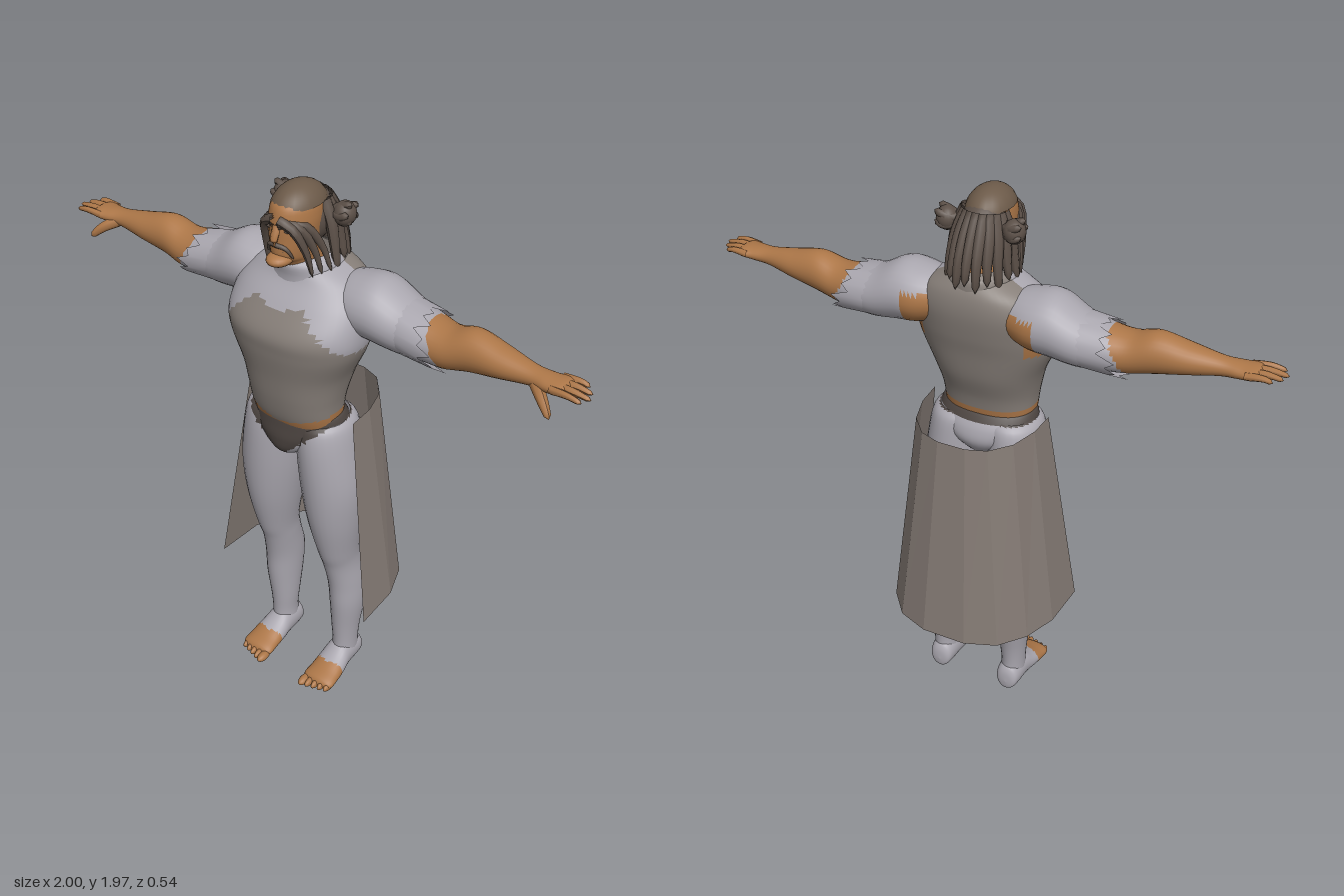
import * as THREE from 'three';

const mat = (name, color) => Object.assign(new THREE.MeshStandardMaterial({ color, side: THREE.DoubleSide }), { name });

// Smoothly interpolate a table of rows [t, centreA, centreB, radiusA, radiusB]
function sampleRows(rows, steps) {
  const out = [], last = rows.length - 1;
  for (let s = 0; s <= steps; s++) {
    const u = (s / steps) * last, i = Math.min(Math.floor(u), last - 1), f = u - i;
    const p = [rows[Math.max(i - 1, 0)], rows[i], rows[i + 1], rows[Math.min(i + 2, last)]];
    out.push(rows[0].map((_, k) => {
      const [a, b, c, d] = p.map((r) => r[k]);
      return b + 0.5 * f * (c - a + f * (2 * a - 5 * b + 4 * c - d + f * (3 * (b - c) + d - a)));
    }));
  }
  return out;
}

// Oval cross-sections along an axis; pick(x, y, z) gives the material index of each face
function loft(name, axis, rows, materials, { steps = 40, sides = 28, power = 1, pick = () => 0 } = {}) {
  const rings = sampleRows(rows, steps), pos = [], buckets = materials.map(() => []);
  const bend = (v) => Math.sign(v) * Math.abs(v) ** power;
  for (const [t, a, b, ra, rb] of rings) {
    for (let j = 0; j < sides; j++) {
      const w = (j / sides) * Math.PI * 2, c = bend(Math.cos(w)), s = bend(Math.sin(w));
      if (axis === 'y') pos.push(a + ra * c, t, b + rb * s);
      if (axis === 'x') pos.push(t, a + ra * s, b + rb * c);
      if (axis === 'z') pos.push(a + ra * s, b + rb * c, t);
    }
  }
  const addFace = (...f) => {
    const mid = [0, 1, 2].map((k) => f.reduce((sum, v) => sum + pos[v * 3 + k], 0) / 3);
    buckets[pick(...mid)].push(...f);
  };
  for (let i = 0; i < steps; i++) {
    for (let j = 0; j < sides; j++) {
      const a = i * sides + j, b = i * sides + ((j + 1) % sides);
      addFace(a, a + sides, b);
      addFace(b, a + sides, b + sides);
    }
  }
  const g = new THREE.BufferGeometry();
  g.setAttribute('position', new THREE.Float32BufferAttribute(pos, 3));
  g.setIndex(buckets.flat());
  let start = 0;
  buckets.forEach((b, m) => { g.addGroup(start, b.length, m); start += b.length; });
  g.computeVertexNormals();
  return Object.assign(new THREE.Mesh(g, materials), { name });
}

// Tapering tube through points, used for hair locks and fingers
function strand(name, points, r, material, end = 0.3) {
  const path = new THREE.CatmullRomCurve3(points.map((p) => new THREE.Vector3(...p)));
  const n = 10, sides = 7, g = new THREE.TubeGeometry(path, n, r, sides), p = g.attributes.position;
  const v = new THREE.Vector3();
  for (let i = 0; i < p.count; i++) {
    const u = Math.floor(i / (sides + 1)) / n, c = path.getPointAt(u);
    const k = u === 1 ? 0 : 1 - (1 - end) * u ** 2;
    v.fromBufferAttribute(p, i).sub(c).multiplyScalar(k).add(c);
    p.setXYZ(i, v.x, v.y, v.z);
  }
  g.computeVertexNormals();
  return Object.assign(new THREE.Mesh(g, material), { name });
}

function ball(name, [x, y, z], [rx, ry, rz], material, ...arc) {
  const g = new THREE.SphereGeometry(1, 20, 14, ...arc).scale(rx, ry, rz).translate(x, y, z);
  return Object.assign(new THREE.Mesh(g, material), { name });
}

// Mirrored copy across x = 0 with corrected winding
function mirrored(mesh) {
  const g = mesh.geometry.clone().scale(-1, 1, 1), idx = g.index.array;
  for (let i = 0; i < idx.length; i += 3) [idx[i + 1], idx[i + 2]] = [idx[i + 2], idx[i + 1]];
  return Object.assign(new THREE.Mesh(g, mesh.material), { name: mesh.name.replace('left', 'right') });
}

export function createModel() {
  const cloth = mat('pale cloth', 0xaaa7af), vest = mat('grey vest', 0x877f79), skin = mat('skin', 0xad7748);
  const hair = mat('dark hair', 0x5c5048), cap = mat('brown crown hair', 0x6c5a49), briefs = mat('dark briefs', 0x4d4541);
  const drape = mat('grey skirt', 0x857b75);
  const model = new THREE.Group();
  const both = (...meshes) => meshes.forEach((m) => model.add(m, mirrored(m)));

  // Torso: vest, pale yoke, bare waist and bare armholes at the back
  model.add(loft('torso', 'y', [
    [1.14, 0, 0.105, 0.155, 0.1], [1.19, 0, 0.11, 0.162, 0.115], [1.26, 0, 0.11, 0.17, 0.13],
    [1.35, 0, 0.1, 0.192, 0.152], [1.45, 0, 0.098, 0.235, 0.17], [1.52, 0, 0.09, 0.245, 0.178],
    [1.6, 0, 0.058, 0.235, 0.157], [1.66, 0, 0.036, 0.19, 0.13], [1.7, 0, 0.035, 0.12, 0.11], [1.72, 0, 0.035, 0.08, 0.08],
  ], [vest, cloth, skin], {
    steps: 60, sides: 48, power: 0.88,
    pick: (x, y, z) => {
      const ax = Math.abs(x);
      if (y < (z > 0.15 ? 1.165 + ax * 0.25 : 1.215)) return 2;
      if (z < 0.02 && ax > 0.18 && y > 1.46 && y < 1.62) return 2;
      return z > 0.02 && y > 1.585 + Math.min(ax, 0.08) * 0.25 - Math.max(0, ax - 0.09) * 0.9 ? 1 : 0;
    },
  }));
  model.add(loft('collar', 'y', [
    [1.64, 0, 0.04, 0.15, 0.125], [1.68, 0, 0.04, 0.125, 0.125], [1.72, 0, 0.045, 0.105, 0.125], [1.735, 0, 0.05, 0.08, 0.1],
  ], [cloth, vest], { steps: 12, pick: (x, y, z) => (z < 0.02 ? 1 : 0) }));

  // Hips with dark briefs
  const inBriefs = (x, y, z) => (y > 1.165 || (z > 0.07 && Math.abs(x) < (y - 1.02) * 1.1) ? 1 : 0);
  model.add(loft('hips', 'y', [
    [1.0, 0, 0.1, 0.02, 0.06], [1.04, 0, 0.1, 0.08, 0.11], [1.09, 0, 0.09, 0.15, 0.132],
    [1.14, 0, 0.09, 0.178, 0.128], [1.185, 0, 0.1, 0.168, 0.112], [1.19, 0, 0.1, 0.15, 0.1],
  ], [cloth, briefs], { pick: inBriefs, sides: 40 }));

  // Legs and feet
  both(loft('left leg', 'y', [
    [0.05, 0.14, 0.02, 0.045, 0.058], [0.12, 0.142, 0.02, 0.043, 0.055], [0.2, 0.142, 0.018, 0.049, 0.062],
    [0.32, 0.146, 0.012, 0.06, 0.08], [0.42, 0.143, 0.014, 0.062, 0.086], [0.52, 0.136, 0.04, 0.06, 0.082],
    [0.6, 0.135, 0.06, 0.066, 0.09], [0.75, 0.132, 0.073, 0.092, 0.114], [0.9, 0.126, 0.08, 0.108, 0.125],
    [1.05, 0.112, 0.085, 0.104, 0.125], [1.14, 0.1, 0.085, 0.097, 0.115], [1.17, 0.09, 0.085, 0.08, 0.09],
  ], [cloth, briefs], { pick: inBriefs, steps: 60 }));
  both(loft('left foot', 'z', [
    [-0.052, 0.14, 0.045, 0, 0], [-0.045, 0.14, 0.05, 0.032, 0.04], [-0.02, 0.14, 0.06, 0.045, 0.056],
    [0.05, 0.14, 0.06, 0.05, 0.06], [0.1, 0.142, 0.046, 0.057, 0.045], [0.15, 0.144, 0.034, 0.061, 0.033],
    [0.2, 0.144, 0.025, 0.058, 0.022], [0.215, 0.144, 0.022, 0, 0],
  ], [cloth, skin], { pick: (x, y, z) => (z > 0.135 - Math.abs(x - 0.14) * 0.3 ? 1 : 0) }));
  for (let i = 0; i < 5; i++) {
    both(ball('left toe', [0.098 + i * 0.023, 0.02, 0.215 - i * 0.007], [i ? 0.012 : 0.017, 0.016, 0.033], skin));
  }

  // Arms with pale sleeves, hands below
  both(loft('left arm', 'x', [
    [0.1, 1.6, 0.02, 0.07, 0.08], [0.19, 1.595, 0.018, 0.098, 0.115], [0.27, 1.592, 0.018, 0.106, 0.117],
    [0.36, 1.565, 0.015, 0.088, 0.105], [0.45, 1.555, 0.018, 0.074, 0.088], [0.52, 1.553, 0.025, 0.069, 0.076],
    [0.6, 1.572, 0.025, 0.07, 0.066], [0.7, 1.572, 0.03, 0.05, 0.056], [0.8, 1.572, 0.036, 0.031, 0.038],
    [0.86, 1.573, 0.04, 0.025, 0.044], [0.91, 1.577, 0.04, 0.016, 0.05], [0.925, 1.578, 0.04, 0, 0],
  ], [cloth, skin], {
    steps: 66,
    pick: (x, y, z) => (x > 0.49 - (y - 1.55) * 0.5 || (x < 0.23 && z < -0.04 && y < 1.63) ? 1 : 0),
  }));
  for (let i = 0; i < 4; i++) {
    const z = -0.002 + i * 0.027, tip = [0.965, 0.99, 1, 0.985][i];
    both(strand('left finger', [[0.88, 1.577, z], [0.94, 1.582, z * 1.08], [tip, 1.575, z * 1.1]], 0.0125, skin, 0.55));
  }
  both(strand('left thumb', [[0.82, 1.565, 0.055], [0.865, 1.54, 0.09], [0.905, 1.502, 0.115]], 0.02, skin, 0.45));

  // Torn sleeve cuffs
  const cuffPos = [], cuffIdx = [], n = 24;
  for (let j = 0; j < n; j++) {
    const w = (j / n) * Math.PI * 2, s = Math.sin(w), c = Math.cos(w);
    const edge = 0.47 - s * 0.035 + [0.03, -0.01, 0.012, -0.025][j % 4];
    cuffPos.push(0.36, 1.565 + s * 0.087, 0.015 + c * 0.103, edge, 1.555 + s * 0.083, 0.018 + c * 0.1);
    const a = j * 2, b = ((j + 1) % n) * 2;
    cuffIdx.push(a, a + 1, b, b, a + 1, b + 1);
  }
  const cuff = new THREE.BufferGeometry();
  cuff.setAttribute('position', new THREE.Float32BufferAttribute(cuffPos, 3));
  cuff.setIndex(cuffIdx).computeVertexNormals();
  both(Object.assign(new THREE.Mesh(cuff, cloth), { name: 'left sleeve cuff' }));

  // Open-fronted skirt of flat panels: [x, z] along the top and bottom edges
  const top = [[0.215, 0.1], [0.21, 0], [0.18, -0.1], [0.12, -0.17], [0.05, -0.195]];
  const bottom = [[0.32, 0.16], [0.31, -0.02], [0.265, -0.14], [0.19, -0.23], [0.08, -0.272]];
  const whole = (half) => [...half, ...half.map(([x, z]) => [-x, z]).reverse()];
  const T = whole(top), B = whole(bottom), panels = [];
  for (let i = 0; i < T.length - 1; i++) {
    const p = (q, y) => [q[0], y, q[1]];
    const a = p(T[i], 1.175), b = p(T[i + 1], 1.175), c = p(B[i], 0.4), d = p(B[i + 1], 0.4);
    panels.push(...a, ...b, ...c, ...b, ...d, ...c);
  }
  const skirt = new THREE.BufferGeometry();
  skirt.setAttribute('position', new THREE.Float32BufferAttribute(panels, 3));
  skirt.computeVertexNormals();
  model.add(Object.assign(new THREE.Mesh(skirt, drape), { name: 'skirt' }));

  // Head, crown of hair and face
  model.add(loft('head', 'y', [
    [1.66, 0, 0.06, 0.065, 0.07], [1.73, 0, 0.085, 0.06, 0.09], [1.76, 0, 0.11, 0.062, 0.098], [1.82, 0, 0.11, 0.072, 0.1],
    [1.88, 0, 0.105, 0.076, 0.102], [1.93, 0, 0.1, 0.062, 0.085], [1.955, 0, 0.1, 0, 0],
  ], [skin], { steps: 30 }));
  model.add(ball('crown hair', [0, 1.885, 0.095], [0.08, 0.086, 0.108], cap, 0, Math.PI * 2, 0, Math.PI * 0.4));
  model.add(ball('back of hair', [0, 1.85, 0.055], [0.08, 0.095, 0.095], hair));
  model.add(strand('nose', [[0, 1.865, 0.2], [0, 1.835, 0.215], [0, 1.815, 0.222]], 0.014, skin, 0.8));
  model.add(ball('chin', [0, 1.752, 0.19], [0.04, 0.022, 0.05], skin));
  model.add(ball('mouth', [0, 1.785, 0.198], [0.028, 0.005, 0.012], hair));
  both(ball('left eye', [0.032, 1.853, 0.196], [0.015, 0.006, 0.007], hair));
  both(strand('left moustache', [[0, 1.805, 0.212], [0.03, 1.797, 0.202], [0.05, 1.76, 0.185]], 0.008, hair));

  // Locks framing the face, hair buns and the fall at the back
  for (let i = 0; i < 3; i++) {
    both(strand('left face lock', [[0.008, 1.885 - i * 0.006, 0.205], [0.05 + i * 0.006, 1.865, 0.195 - i * 0.02],
      [0.075 + i * 0.008, 1.79, 0.165 - i * 0.03], [0.085 + i * 0.014, 1.69, 0.14 - i * 0.03]], 0.016, hair));
  }
  both(ball('left bun', [0.115, 1.868, 0.02], [0.036, 0.04, 0.038], hair));
  for (let i = 0; i < 5; i++) {
    const w = (i / 5) * Math.PI * 2, y = 1.868 + Math.sin(w) * 0.028, z = 0.02 + Math.cos(w) * 0.028;
    both(strand('left bun lock', [[0.07, 1.868, 0.03], [0.115, y, z], [0.148, y + 0.012, z]], 0.016, hair, 0.6));
  }
  for (let i = 0; i < 11; i++) {
    const w = (i / 10) * Math.PI, c = Math.cos(w), s = Math.sin(w);
    model.add(strand('back lock', [[c * 0.06, 1.91, 0.05 - s * 0.05], [c * 0.085, 1.85, 0.05 - s * 0.09],
      [c * 0.1, 1.77, 0.05 - s * 0.13], [c * 0.112, 1.685 + (i % 2) * 0.02, 0.05 - s * 0.145]], 0.021, hair, 0.5));
  }
  return model;
}
